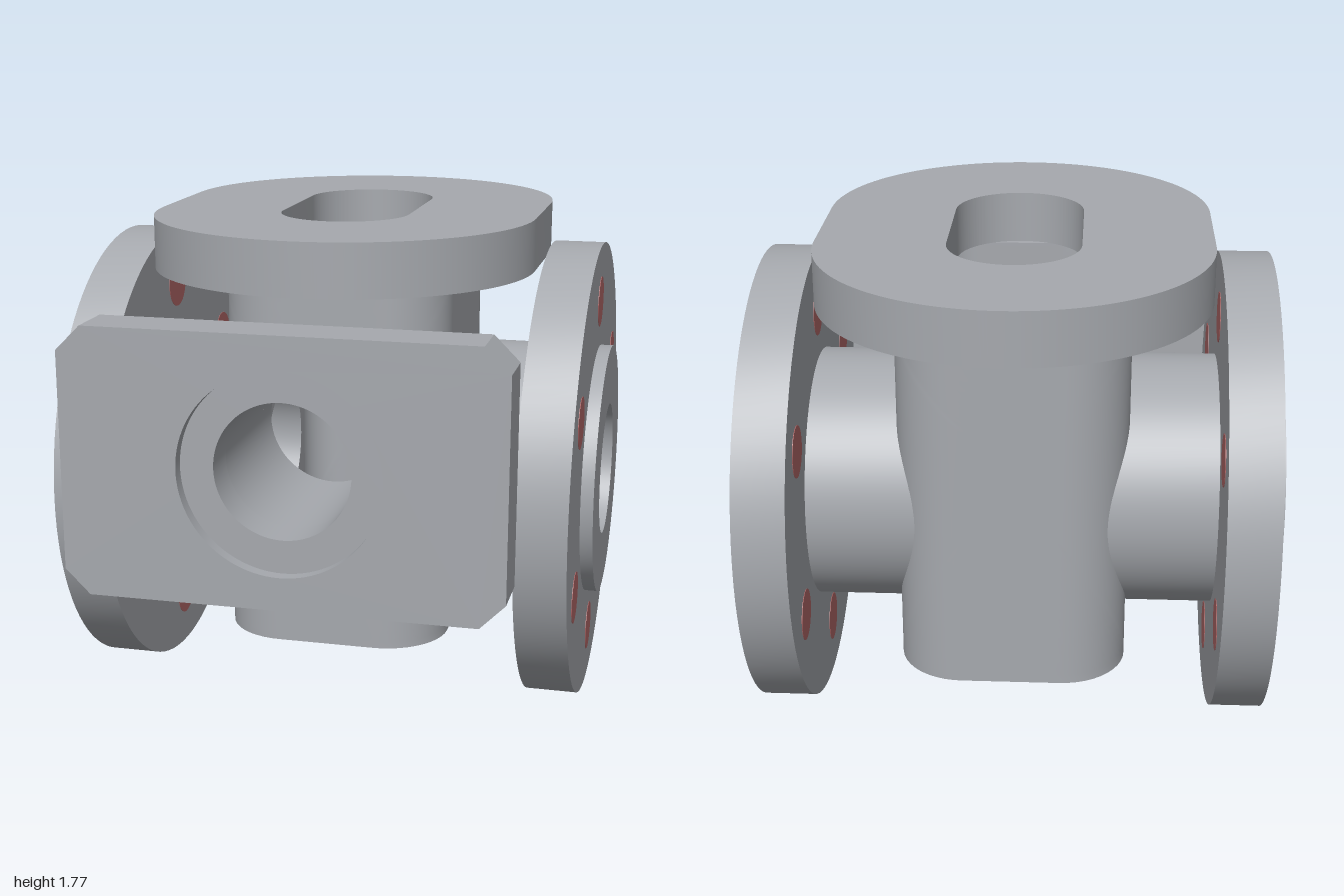
import * as THREE from 'three';
import { toCreasedNormals } from 'three/addons/utils/BufferGeometryUtils.js';

const CZ = -0.115;            // z of the body axis
const SIDE_Y = 0.83, SIDE_BORE = 0.24;
const FRONT_Y = 1.06, FRONT_BORE = 0.23;
const FLAT_X = 0.175, FLAT_Z = 0.29; // half widths of the flat body walls

const steel = new THREE.MeshStandardMaterial({ color: 0xa6a9ae });
steel.name = 'steel grey';
const red = new THREE.MeshStandardMaterial({ color: 0xb46a6a });
red.name = 'bolt red';

function add(parent, name, geometry, material = steel) {
  const mesh = new THREE.Mesh(geometry, material);
  mesh.name = name;
  parent.add(mesh);
  return mesh;
}

const lathe = (pts) =>
  toCreasedNormals(new THREE.LatheGeometry(pts.map(([r, y]) => new THREE.Vector2(r, y)), 96), 0.6);

function extrude(shape, depth) {
  const geo = new THREE.ExtrudeGeometry(shape, { depth, bevelEnabled: false, curveSegments: 48 });
  return toCreasedNormals(geo, 0.6);
}

// Rectangle with rounded corners: corner centres at (+-fx, +-fy)
function roundedRect(fx, fy, r, Type = THREE.Shape) {
  const s = new Type();
  s.absarc(fx, fy, r, 0, Math.PI / 2);
  s.absarc(-fx, fy, r, Math.PI / 2, Math.PI);
  s.absarc(-fx, -fy, r, Math.PI, Math.PI * 1.5);
  s.absarc(fx, -fy, r, Math.PI * 1.5, Math.PI * 2);
  s.closePath();
  return s;
}

// Wall skin with a round opening; flat in the middle, bent round both corners.
// flat: half width of flat, r: corner radius, D: distance from the axis
function wallSkin(flat, r, D, y0, y1, holeY, holeR, inward) {
  const N = 32, M = 24, half = flat + r * Math.PI / 2;
  const toS = (x) => {
    const a = Math.abs(x);
    return a <= flat ? x : Math.sign(x) * (flat + r * Math.asin((a - flat) / r));
  };
  const corners = [[-half, y0], [half, y0], [half, y1], [-half, y1]];
  const pos = [], index = [];
  for (let i = 0; i <= 4 * N; i++) {
    const e = Math.floor(i / N) % 4, t = (i % N) / N;
    const [ax, ay] = corners[e], [bx, by] = corners[(e + 1) % 4];
    const rs = ax + (bx - ax) * t, ry = ay + (by - ay) * t;
    const ang = Math.atan2(ry - holeY, rs);
    const hs = toS(holeR * Math.cos(ang)), hy = holeY + holeR * Math.sin(ang);
    for (let j = 0; j <= M; j++) {
      const s = hs + (rs - hs) * j / M, y = hy + (ry - hy) * j / M;
      const over = Math.abs(s) - flat;
      if (over <= 0 || r === 0) pos.push(s, y, D);
      else pos.push(Math.sign(s) * (flat + r * Math.sin(over / r)), y, D - r + r * Math.cos(over / r));
      if (i < 4 * N && j < M) {
        const a = i * (M + 1) + j, b = a + 1, d = a + M + 1, c = d + 1;
        if (inward) index.push(a, c, b, a, d, c);
        else index.push(a, b, c, a, c, d);
      }
    }
  }
  const geo = new THREE.BufferGeometry();
  geo.setAttribute('position', new THREE.Float32BufferAttribute(pos, 3));
  geo.setIndex(index);
  geo.computeVertexNormals();
  return geo;
}

function buildBody() {
  const body = new THREE.Group();
  body.name = 'body';
  body.position.z = CZ;
  // Outer skin and cavity skin
  for (const [label, r, y0, inward] of [['outer', 0.23, 0.25, false], ['cavity', 0.12, 0.36, true]]) {
    const wall = (side, turn, ...args) =>
      add(body, `${label} ${side} wall`, wallSkin(...args, inward).rotateY(turn));
    wall('front', 0, FLAT_X, r, FLAT_Z + r, y0, 1.59, FRONT_Y, FRONT_BORE);
    wall('back', Math.PI, FLAT_X, r, FLAT_Z + r, y0, 1.59, FRONT_Y, 0);
    wall('left', Math.PI / 2, FLAT_Z, 0, FLAT_X + r, y0, 1.59, SIDE_Y, SIDE_BORE);
    wall('right', -Math.PI / 2, FLAT_Z, 0, FLAT_X + r, y0, 1.59, SIDE_Y, SIDE_BORE);
  }
  // Floor, underside and top rim
  const cap = (name, shape, turn, y) =>
    add(body, name, new THREE.ShapeGeometry(shape, 24).rotateX(turn).translate(0, y, 0));
  cap('underside', roundedRect(FLAT_X, FLAT_Z, 0.23), Math.PI / 2, 0.25);
  cap('cavity floor', roundedRect(FLAT_X, FLAT_Z, 0.12), -Math.PI / 2, 0.36);
  const rim = roundedRect(FLAT_X, FLAT_Z, 0.23);
  rim.holes.push(roundedRect(FLAT_X, FLAT_Z, 0.12, THREE.Path));
  cap('top rim', rim, -Math.PI / 2, 1.59);
  return body;
}

// Pipe, round flange, raised face and bolts on one side
function buildSidePort(sign) {
  const port = new THREE.Group();
  port.name = sign > 0 ? 'leftPort' : 'rightPort';
  port.position.set(0, SIDE_Y, CZ);
  add(port, 'pipe and flange', lathe([
    [0.455, 0.33], [0.455, 0.715], [0.83, 0.715], [0.83, 0.895],
    [0.455, 0.895], [0.455, 0.94], [SIDE_BORE, 0.94], [SIDE_BORE, 0.295],
  ]).rotateZ(-sign * Math.PI / 2));
  for (let k = 0; k < 6; k++) {
    const a = Math.PI / 6 + k * Math.PI / 3;
    const bolt = add(port, 'bolt', new THREE.CylinderGeometry(0.09, 0.09, 0.184, 32).rotateZ(Math.PI / 2), red);
    bolt.position.set(sign * 0.805, 0.625 * Math.sin(a), 0.625 * Math.cos(a));
  }
  return port;
}

// Front pipe with chamfered plate and shallow round recess
function buildFrontPort() {
  const port = new THREE.Group();
  port.name = 'frontPort';
  port.position.y = FRONT_Y;
  add(port, 'front pipe', lathe([
    [0.28, CZ + 0.49], [0.28, 0.82], [FRONT_BORE, 0.82], [FRONT_BORE, CZ + 0.4],
  ]).rotateX(Math.PI / 2));
  const plate = (name, holeR, z, depth) => {
    const w = 0.74, h = 0.457, c = 0.085;
    const shape = new THREE.Shape([
      [w, c - h], [w, h - c], [w - c, h], [c - w, h], [-w, h - c], [-w, c - h], [c - w, -h], [w - c, -h],
    ].map(([x, y]) => new THREE.Vector2(x, y)));
    shape.holes.push(new THREE.Path().absarc(0, 0, holeR, 0, Math.PI * 2));
    add(port, name, extrude(shape, depth)).position.z = z;
  };
  plate('front plate back layer', FRONT_BORE, 0.82, 0.135);
  plate('front plate recess layer', 0.343, 0.955, 0.045);
  return port;
}

export function createModel() {
  const model = new THREE.Group();
  model.name = 'valveBody';
  model.add(buildBody(), buildSidePort(1), buildSidePort(-1), buildFrontPort());
  // Oblong top flange with a slot
  const oblong = roundedRect(0, 0.205, 0.68);
  oblong.holes.push(roundedRect(0, 0.205, 0.23, THREE.Path));
  add(model, 'topFlange', extrude(oblong, 0.185).rotateX(-Math.PI / 2)).position.set(0, 1.59, CZ);
  return model;
}
